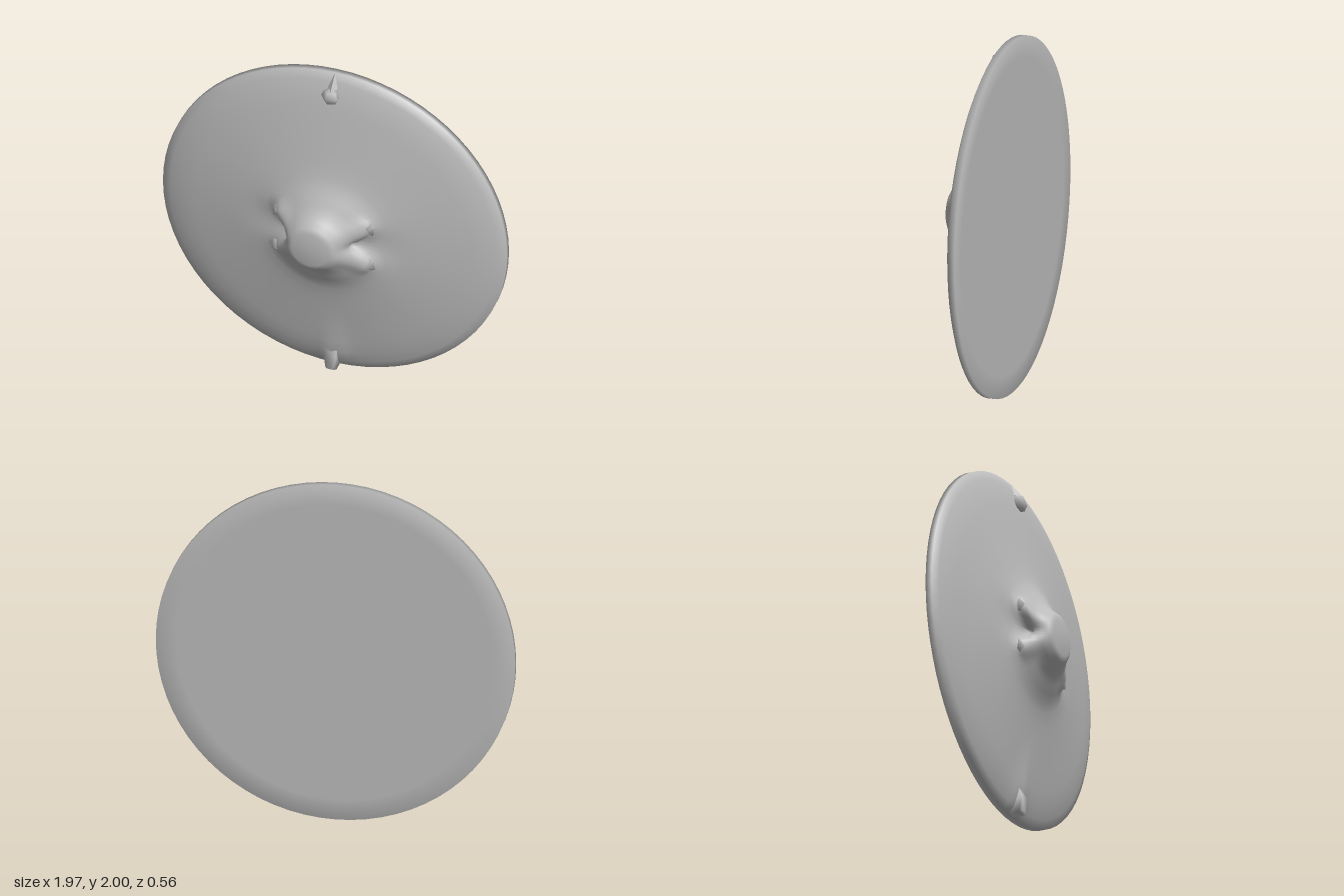
import * as THREE from 'three';
import { mergeVertices } from 'three/addons/utils/BufferGeometryUtils.js';
import { ConvexGeometry } from 'three/addons/geometries/ConvexGeometry.js';

const V = (x, y, z) => new THREE.Vector3(x, y, z);

// Weld seams and smooth the shading
function smooth(geometry) {
  geometry.deleteAttribute('uv');
  geometry.deleteAttribute('normal');
  const g = mergeVertices(geometry, 1e-4);
  g.computeVertexNormals();
  return g;
}

// Flat back, wide bevel and domed face that runs into the boss.
// Outer rings: radius, height. Boss rings add: bulge at the ears, notch at the sides, shift in x.
const rings = [
  [0, 0], [0.45, 0], [0.88, 0], [1, 0], [1, 0.036], [0.95, 0.058], [0.88, 0.082],
  [0.8, 0.1], [0.7, 0.119], [0.6, 0.138], [0.52, 0.153],
  [0.45, 0.167, 0, 0.02, 0], [0.38, 0.183, 0, 0.07, 0], [0.325, 0.203, 0, 0.12, 0],
  [0.285, 0.228, 0.03, 0.12, 0], [0.24, 0.252, 0.045, 0.075, -0.005],
  [0.2, 0.277, 0.02, 0.025, -0.015], [0.168, 0.31, 0.005, 0.01, -0.025],
  [0.137, 0.345, 0, 0, -0.03], [0.105, 0.361, 0, 0, -0.03], [0, 0.364, 0, 0, -0.03],
];

function discGeometry() {
  const n = 72, pos = [], index = [];
  rings.forEach(([radius, height, ear = 0, notch = 0, shift = 0], k) => {
    for (let j = 0; j < n; j++) {
      const a = (j / n) * Math.PI * 2;
      // Angle above or below the horizontal, folded into one quadrant
      const q = Math.asin(Math.min(1, Math.abs(Math.sin(a))));
      const r = radius + ear * Math.exp(-(((q - 0.47) / 0.22) ** 2))
        - notch * Math.exp(-((q / 0.26) ** 2));
      const x = shift + r * Math.cos(a), y = r * Math.sin(a);
      // Swelling under the lower stud
      const along = height > 0.05 ? THREE.MathUtils.clamp((-y - 0.65) / 0.22, 0, 1) : 0;
      pos.push(x, y, height + 0.025 * along * Math.max(0, 1 - Math.abs(x) / 0.1));
      if (k === 0) continue;
      const b = k * n + j, c = k * n + (j + 1) % n;
      if (k > 1) index.push(b - n, c - n, c);
      if (k === 1) index.push(b - n, c, b);
      else if (k < rings.length - 1) index.push(b - n, c, b);
    }
  });
  const g = new THREE.BufferGeometry();
  g.setAttribute('position', new THREE.Float32BufferAttribute(pos, 3));
  g.setIndex(index);
  return smooth(g);
}

export function createModel() {
  const steel = new THREE.MeshStandardMaterial({ color: 0xbbbbbb });
  steel.name = 'steel grey';

  const model = new THREE.Group();
  model.name = 'roundShield';
  // The whole disc is turned slightly about the vertical axis
  const shield = new THREE.Group();
  shield.name = 'tiltedShield';
  shield.position.set(0, 1, -0.105);
  shield.rotation.y = 0.178;
  model.add(shield);

  const add = (name, geometry) => {
    const mesh = new THREE.Mesh(geometry, steel);
    mesh.name = name;
    shield.add(mesh);
    return mesh;
  };

  add('shieldDisc', discGeometry());

  // Small pointed tips on the four ears of the boss
  for (const sx of [-1, 1]) for (const sy of [-1, 1]) {
    const tip = add((sy > 0 ? 'upper' : 'lower') + (sx > 0 ? 'Left' : 'Right') + 'EarTip',
      smooth(new THREE.OctahedronGeometry(0.055)));
    tip.position.set(sx * 0.262, sy * 0.128, 0.222);
    tip.rotation.z = sx * sy * 0.5;
    tip.scale.set(0.8, 1, 0.45);
  }

  // Upper stud: faceted ball with a spike towards the rim
  const ball = add('topStud', smooth(new THREE.SphereGeometry(0.056, 5, 4)));
  ball.position.set(-0.005, 0.872, 0.088);
  ball.scale.set(1, 0.9, 0.8);
  add('topSpike', new ConvexGeometry([
    V(0.002, 0.998, 0.04), V(-0.034, 0.92, 0.06), V(0.034, 0.92, 0.06),
    V(0, 0.91, 0.11), V(0, 0.9, 0.05),
  ]));

  // Lower stud on the rim
  const stud = [];
  for (const s of [-1, 1]) {
    stud.push(V(s * 0.03, -0.995, 0.03), V(s * 0.032, -0.995, 0.1), V(s * 0.02, -0.99, 0.115),
      V(s * 0.036, -0.9, 0.12), V(s * 0.034, -0.855, 0.1), V(s * 0.03, -0.855, 0.06));
  }
  add('bottomStud', smooth(new ConvexGeometry(stud)));

  return model;
}
